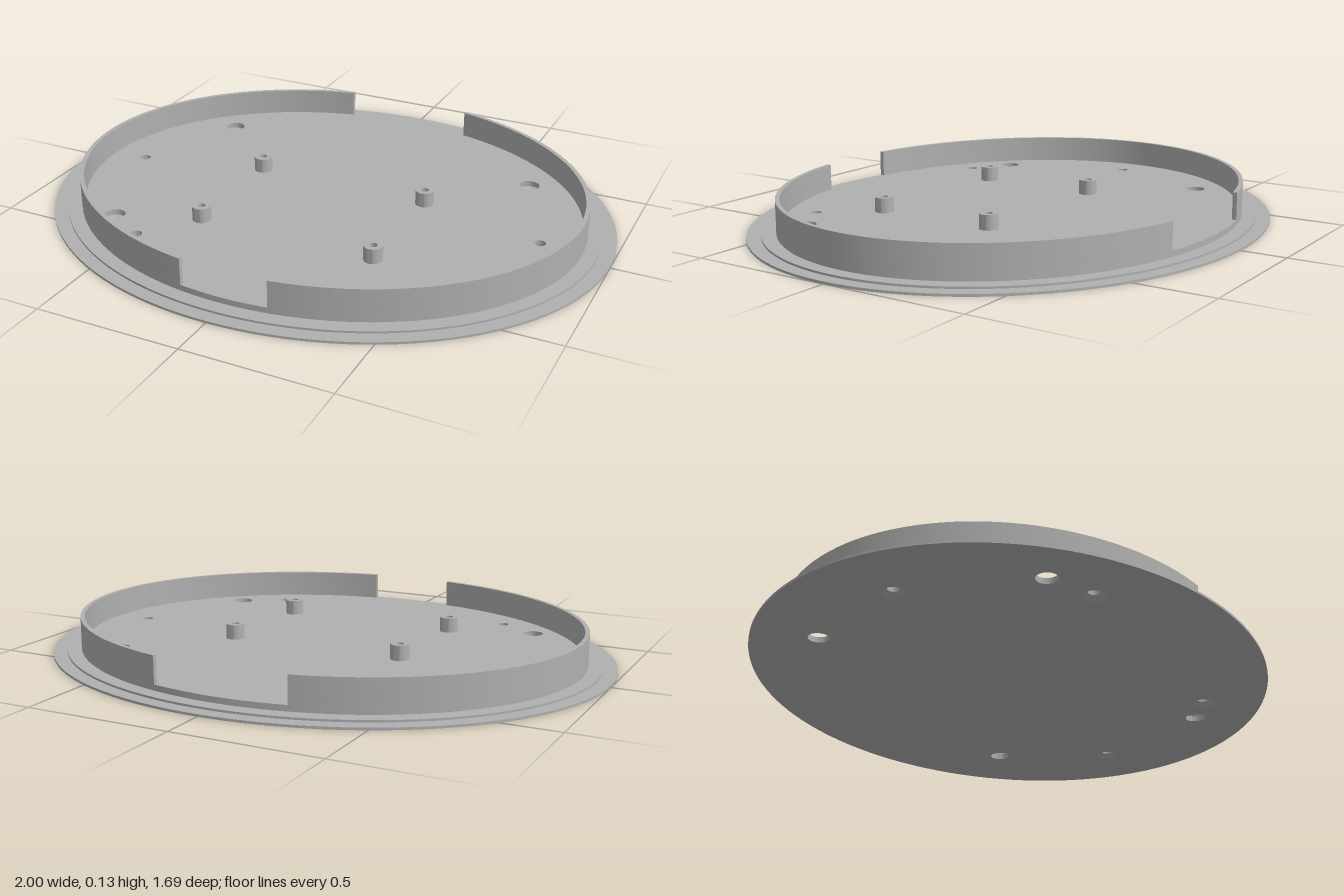
import * as THREE from 'three';
import { toCreasedNormals } from 'three/addons/utils/BufferGeometryUtils.js';

export function createModel() {
  const group = new THREE.Group();
  group.name = 'ovalBase';
  const grey = new THREE.MeshStandardMaterial({ color: 0xb0b0b0 });
  grey.name = 'grey plastic';

  const FLANGE = 0.008, STEP = 0.015, FLOOR = 0.035, TOP = 0.128;

  function add(name, geometry, x = 0, y = 0, z = 0) {
    const mesh = new THREE.Mesh(toCreasedNormals(geometry, 0.5), grey);
    mesh.name = name;
    mesh.position.set(x, y, z);
    group.add(mesh);
  }

  // Upright extrusion between two heights; shape y is -z
  function slab(shape, y0, y1) {
    const g = new THREE.ExtrudeGeometry(shape, { depth: y1 - y0, bevelEnabled: false, curveSegments: 24 });
    return g.rotateX(-Math.PI / 2).translate(0, y0, 0);
  }

  // Through holes: x, z, radius, countersink radius
  const holes = [];
  for (const s of [-1, 1]) {
    holes.push([s * 0.603, -0.397, 0.035, 0.07], [s * 0.603, 0.433, 0.035, 0.07]);
    holes.push([s * 0.765, 0, 0.02, 0.038], [s * 0.46, 0.52, 0.02, 0.038]);
  }

  function ovalPlate(rx, rz, y0, y1, countersunk) {
    const pts = [];
    for (let i = 0; i < 128; i++) {
      const a = (i / 128) * Math.PI * 2;
      pts.push(new THREE.Vector2(rx * Math.cos(a), rz * Math.sin(a)));
    }
    const shape = new THREE.Shape(pts);
    for (const [x, z, r, wide] of holes) {
      shape.holes.push(new THREE.Path().absarc(x, -z, countersunk ? wide : r, 0, Math.PI * 2, true));
    }
    return slab(shape, y0, y1);
  }

  // Stepped base: thin flange, second step, raised floor
  add('flange', ovalPlate(1, 0.847, 0, FLANGE, true));
  add('flangeStep', ovalPlate(0.952, 0.8, FLANGE, STEP, true));
  add('floor', ovalPlate(0.903, 0.75, STEP, FLOOR, false));

  // Sloped countersinks under the holes
  for (const [x, z, r, wide] of holes) {
    const cone = new THREE.LatheGeometry([new THREE.Vector2(r, STEP), new THREE.Vector2(wide, 0)], 48);
    add('countersink', cone, x, 0, z);
  }

  // Side walls, leaving a front gap and a wider back gap
  const frontGap = 0.152, backGap = 0.235, N = 64;
  for (const side of [-1, 1]) {
    const arc = (rx, rz) => {
      const a0 = Math.asin(frontGap / rx), a1 = Math.PI - Math.asin(backGap / rx);
      return Array.from({ length: N + 1 }, (_, i) => {
        const a = a0 + (a1 - a0) * i / N;
        return new THREE.Vector2(side * rx * Math.sin(a), -rz * Math.cos(a));
      });
    };
    const shape = new THREE.Shape([...arc(0.903, 0.75), ...arc(0.888, 0.735).reverse()]);
    add(side > 0 ? 'leftWall' : 'rightWall', slab(shape, FLOOR, TOP));
  }

  // Mounting posts with a blind bore
  const profile = [[0.032, 0], [0.032, 0.052], [0.014, 0.052], [0.014, 0.002], [0, 0.002]]
    .map(([r, y]) => new THREE.Vector2(r, y));
  for (const x of [-0.317, 0.317]) {
    for (const z of [-0.102, 0.335]) {
      add('mountingPost', new THREE.LatheGeometry(profile, 40), x, FLOOR, z);
    }
  }

  return group;
}
